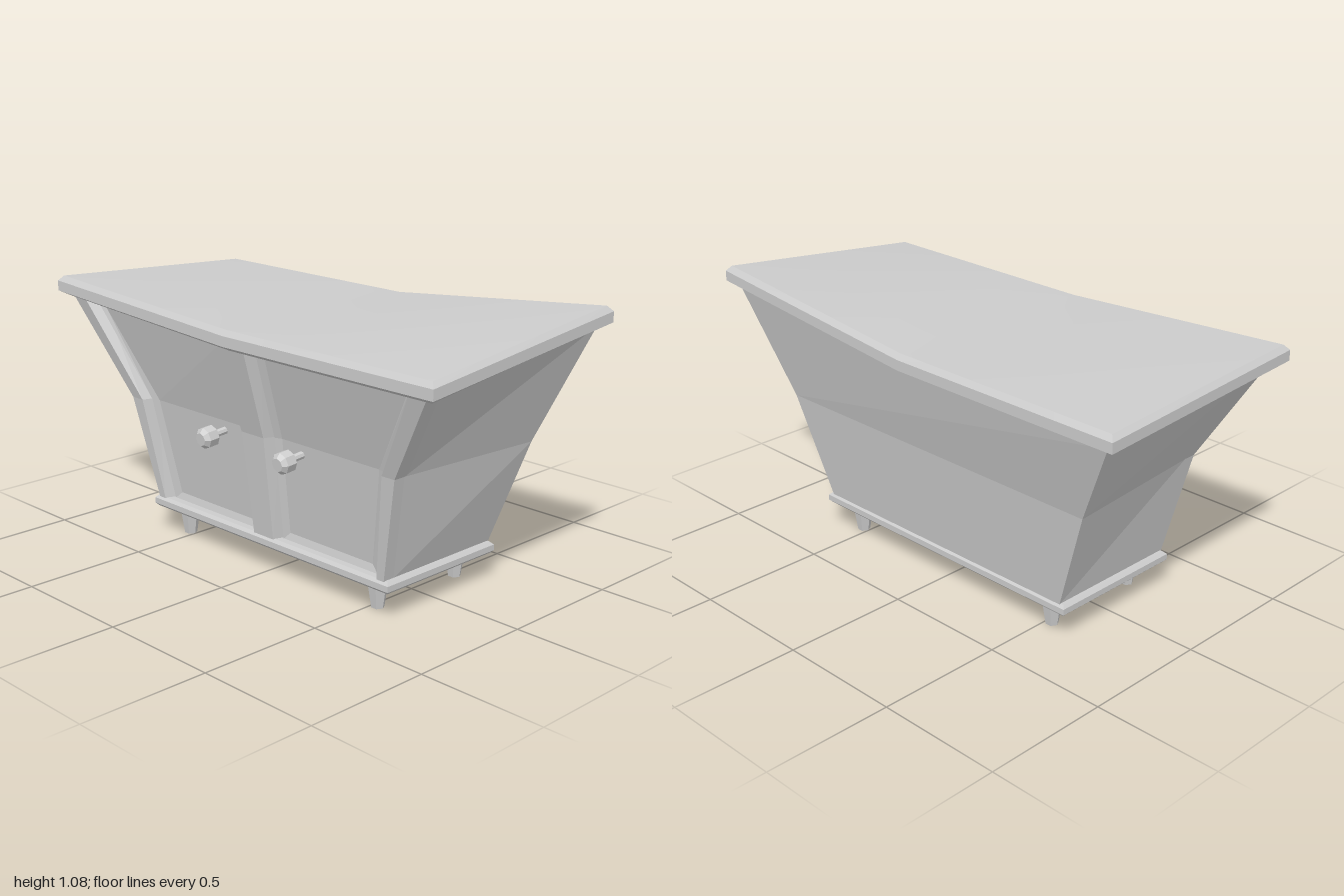
import * as THREE from 'three';
import { toCreasedNormals } from 'three/addons/utils/BufferGeometryUtils.js';

const material = new THREE.MeshStandardMaterial({ color: 0xcccccc });

function mesh(name, geometry, parent) {
  const m = new THREE.Mesh(geometry, material);
  m.name = name;
  parent.add(m);
  return m;
}

// Flat-shaded geometry from four-cornered faces, counter-clockwise from outside
function quadGeometry(quads) {
  const pos = quads.flatMap(([a, b, c, d]) => [a, b, c, a, c, d].flat());
  const g = new THREE.BufferGeometry();
  g.setAttribute('position', new THREE.Float32BufferAttribute(pos, 3));
  g.computeVertexNormals();
  return g;
}

// Walls through stacked rings of corners (front -x, front +x, back +x, back -x)
function loft(rings) {
  const quads = [];
  for (let k = 0; k < rings.length - 1; k++) {
    const lo = rings[k], up = rings[k + 1], n = lo.length;
    for (let i = 0; i < n; i++) {
      const j = (i + 1) % n;
      quads.push([lo[i], lo[j], up[j], up[i]]);
    }
  }
  return quadGeometry(quads);
}

// Underside height of the warped top: bent at x = 0 and twisted along z
function topUnderside(x, z) {
  const t = THREE.MathUtils.clamp((z + 0.47) / 0.94, 0, 1);
  const back = x < 0 ? 0.9 : 0.9 + 0.1 * x;
  const front = x < 0 ? 0.897 - 0.055 * x : 0.897 + 0.003 * x;
  return THREE.MathUtils.lerp(back, front, t);
}

// Bevelled board whose height follows a rule
function board(w, h, d, insetBottom, insetTop, baseY) {
  const g = new THREE.BoxGeometry(w, h, d, 8, 3, 4);
  const p = g.attributes.position;
  const insets = [insetBottom, 0, 0, insetTop], heights = [0, 0.25, 0.75, 1];
  for (let i = 0; i < p.count; i++) {
    const k = Math.round((p.getY(i) / h + 0.5) * 3);
    const x = p.getX(i), z = p.getZ(i);
    p.setXYZ(i, x * (1 - 2 * insets[k] / w), baseY(x, z) + heights[k] * h, z * (1 - 2 * insets[k] / d));
  }
  return toCreasedNormals(g, 0.25);
}

// Three levels of the cabinet: plinth, waist, top
const FRONT_Z = [0.285, 0.335, 0.438];
const BACK_Z = [-0.285, -0.338, -0.44];
const OUTER_X = [0.625, 0.715, 0.945];
const OUTER_BACK_X = [0.625, 0.768, 0.955];
const STILE_IN = [0.59, 0.655, 0.87];
const OPEN_OUT = [0.565, 0.635, 0.84];
const POST = [0.053, 0.06, 0.07];
const OPEN_IN = [0.075, 0.083, 0.095];
const RECESS = 0.05;
const LEVELS = [0, 1, 2];
const levelY = (k, x, z) => (k === 0 ? 0.148 : k === 1 ? 0.56 : topUnderside(x, z) + 0.012);
const frontPoint = (k, x, recess) => [x, levelY(k, x, 0.45), FRONT_Z[k] - recess];

// Upright frame member with splayed reveals
function upright(frontA, frontB, backA, backB) {
  return loft(LEVELS.map((k) => [
    frontPoint(k, frontA(k), 0), frontPoint(k, frontB(k), 0),
    frontPoint(k, backB(k), RECESS + 0.01), frontPoint(k, backA(k), RECESS + 0.01),
  ]));
}

// Recessed door: sloping border around a sunken field, folded at the waist
function doorGeometry(side) {
  const ring = (inset, recess) => LEVELS.map((k) => {
    const xs = [side * (OPEN_IN[k] + inset), side * (OPEN_OUT[k] - inset * 1.1)].sort((a, b) => a - b);
    const dy = k === 0 ? inset : k === 2 ? -inset : 0;
    return xs.map((x) => {
      const [px, py, pz] = frontPoint(k, x, recess);
      return [px, py + dy, pz + dy * (k === 2 ? 0.3 : 0.12)];
    });
  });
  const o = ring(0, 0.034), f = ring(0.03, 0.045);
  const quads = [
    [o[0][0], o[0][1], f[0][1], f[0][0]],
    [f[2][0], f[2][1], o[2][1], o[2][0]],
  ];
  for (let k = 0; k < 2; k++) {
    quads.push([f[k][0], f[k][1], f[k + 1][1], f[k + 1][0]]);
    quads.push([o[k][0], f[k][0], f[k + 1][0], o[k + 1][0]]);
    quads.push([f[k][1], o[k][1], o[k + 1][1], f[k + 1][1]]);
  }
  return quadGeometry(quads);
}

function knobGeometry() {
  const profile = [[0.015, 0], [0.015, 0.055], [0.026, 0.055], [0.042, 0.066],
    [0.042, 0.108], [0.026, 0.125], [0, 0.125]].map(([r, y]) => new THREE.Vector2(r, y));
  return toCreasedNormals(new THREE.LatheGeometry(profile, 8), 0.3);
}

export function createModel() {
  const cabinet = new THREE.Group();
  cabinet.name = 'cabinet';

  // Warped top and plinth
  mesh('top', board(2, 0.08, 0.945, 0.035, 0.018, topUnderside), cabinet);
  mesh('plinth', board(1.3, 0.046, 0.582, 0.012, 0.012, () => 0.104), cabinet);

  // Body shell, its front set back behind the frame
  mesh('body', loft(LEVELS.map((k) => {
    const f = OUTER_X[k], b = OUTER_BACK_X[k];
    return [
      frontPoint(k, -f, RECESS), frontPoint(k, f, RECESS),
      [b, levelY(k, b, BACK_Z[k]), BACK_Z[k]], [-b, levelY(k, -b, BACK_Z[k]), BACK_Z[k]],
    ];
  })), cabinet);

  // Front frame
  const at = (list, s) => (k) => s * list[k];
  mesh('centrePost', upright(at(POST, -1), at(POST, 1), at(OPEN_IN, -1), at(OPEN_IN, 1)), cabinet);
  mesh('rightStile', upright(at(OUTER_X, -1), at(STILE_IN, -1), at(OUTER_X, -1), at(OPEN_OUT, -1)), cabinet);
  mesh('leftStile', upright(at(STILE_IN, 1), at(OUTER_X, 1), at(OPEN_OUT, 1), at(OUTER_X, 1)), cabinet);

  // Doors, knobs and legs
  const knob = knobGeometry();
  const leg = new THREE.CylinderGeometry(0.041, 0.025, 0.106, 6).rotateY(Math.PI / 6);
  const legGeometry = toCreasedNormals(leg, 0.3);
  for (const [side, label] of [[-1, 'right'], [1, 'left']]) {
    mesh(label + 'Door', doorGeometry(side), cabinet);
    const k = mesh(label + 'Knob', knob, cabinet);
    k.position.set(side * 0.212, 0.52, 0.283);
    k.rotation.x = Math.PI / 2 + 0.09;
    for (const [end, z] of [['Front', 0.208], ['Back', -0.213]]) {
      mesh(label + end + 'Leg', legGeometry, cabinet).position.set(side * 0.526, 0.053, z);
    }
  }
  return cabinet;
}
